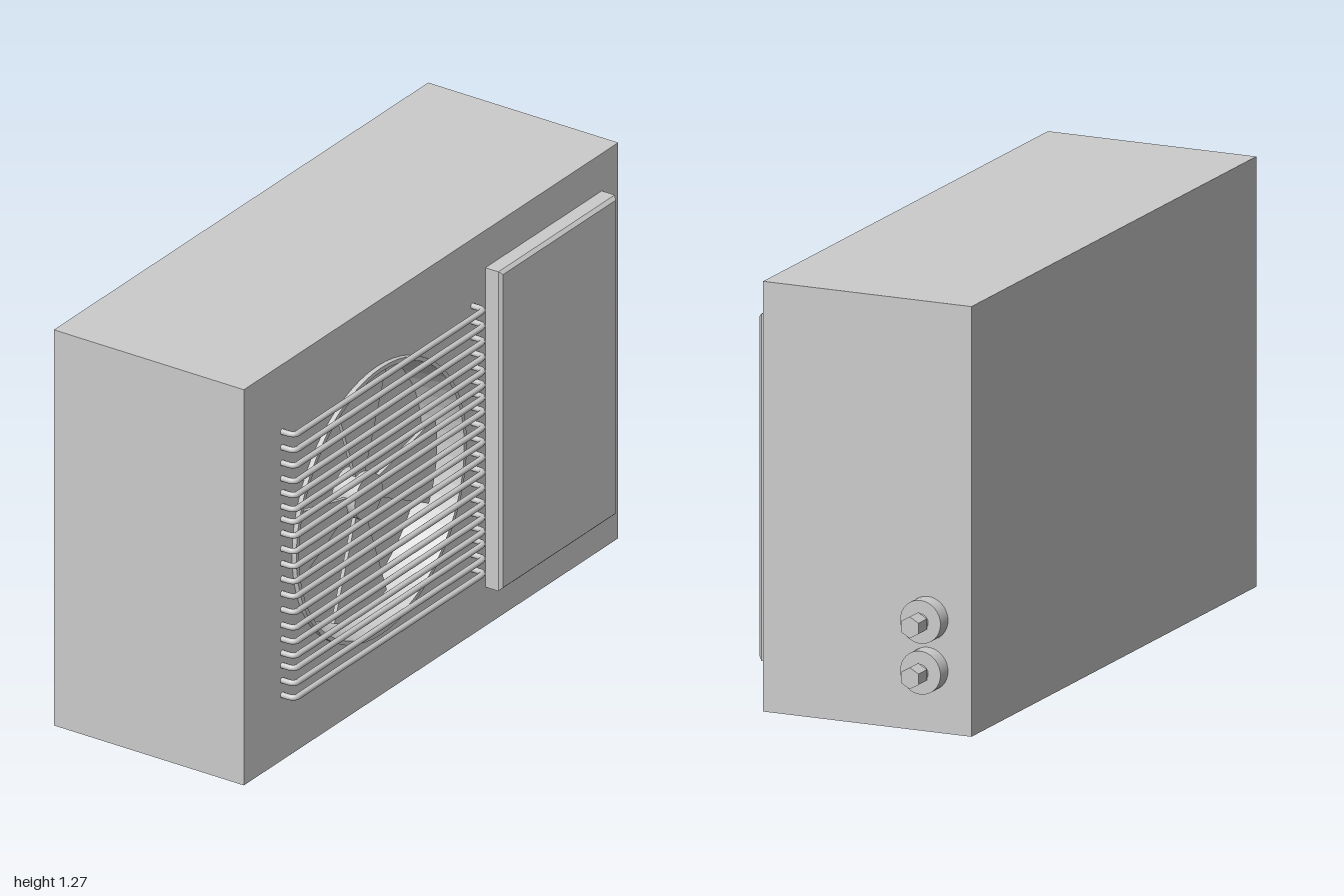
import * as THREE from 'three';

const grey = new THREE.MeshStandardMaterial({ color: 0xcccccc, side: THREE.DoubleSide });
const FACE = 0.30;      // x of the fan side of the cabinet
const DEPTH = 0.12;     // depth of the fan recess
const FAN_Y = 0.635, FAN_Z = 0.33;

export function createModel() {
  const model = new THREE.Group();
  const add = (name, geometry, parent = model) => {
    const mesh = new THREE.Mesh(geometry, grey);
    mesh.name = name;
    parent.add(mesh);
    return mesh;
  };

  // Cabinet: solid rear body plus a fan-side slab with a round opening
  const bodyWidth = 0.66 - DEPTH;
  add('cabinetBody', new THREE.BoxGeometry(bodyWidth, 1.27, 1.88))
    .position.set(-0.36 + bodyWidth / 2, 0.635, 0.06);
  const slab = new THREE.Shape([[-1, 0], [0.88, 0], [0.88, 1.27], [-1, 1.27]]
    .map(([x, y]) => new THREE.Vector2(x, y)));
  slab.holes.push(new THREE.Path().absarc(-FAN_Z, FAN_Y, 0.42, 0, Math.PI * 2, true));
  const slabGeometry = new THREE.ExtrudeGeometry(slab, { depth: DEPTH, bevelEnabled: false, curveSegments: 48 });
  add('cabinetFanSide', slabGeometry.rotateY(Math.PI / 2)).position.x = FACE - DEPTH;

  // Fan assembly, built facing local +z and turned towards +x
  const fan = new THREE.Group();
  fan.name = 'fan';
  fan.rotation.y = Math.PI / 2;
  fan.position.set(FACE, FAN_Y, FAN_Z);
  model.add(fan);

  // Tapered shroud with a small raised lip
  const shroud = [[0.395, -DEPTH + 0.002], [0.415, 0.015], [0.428, 0.015], [0.428, 0]]
    .map(([r, y]) => new THREE.Vector2(r, y));
  const shroudGeometry = new THREE.LatheGeometry(shroud, 64).toNonIndexed();
  shroudGeometry.computeVertexNormals();
  add('fanShroud', shroudGeometry.rotateX(Math.PI / 2), fan);

  // Hub and four thin sector blades
  add('fanHub', new THREE.CylinderGeometry(0.07, 0.07, 0.08, 24).rotateX(Math.PI / 2), fan)
    .position.z = -0.07;
  for (const centre of [90, -7, 187, 270]) {
    const a = THREE.MathUtils.degToRad(centre - 20), b = THREE.MathUtils.degToRad(centre + 20);
    const sector = new THREE.Shape();
    sector.absarc(0, 0, 0.385, a, b, false);
    sector.absarc(0, 0, 0.06, b, a, true);
    const blade = new THREE.ExtrudeGeometry(sector, { depth: 0.012, bevelEnabled: false, curveSegments: 12 });
    add('fanBlade', blade, fan).position.z = -0.07;
  }

  // Guard: horizontal bars with both ends bent back into the cabinet
  const bend = new THREE.CurvePath();
  const v = (x, z) => new THREE.Vector3(x, 0, z);
  const outer = 0.343, zA = 0.808, zB = -0.148, r = 0.02;
  bend.add(new THREE.LineCurve3(v(FACE, zA), v(outer - r, zA)));
  bend.add(new THREE.QuadraticBezierCurve3(v(outer - r, zA), v(outer, zA), v(outer, zA - r)));
  bend.add(new THREE.LineCurve3(v(outer, zA - r), v(outer, zB + r)));
  bend.add(new THREE.QuadraticBezierCurve3(v(outer, zB + r), v(outer, zB), v(outer - r, zB)));
  bend.add(new THREE.LineCurve3(v(outer - r, zB), v(FACE, zB)));
  const barGeometry = new THREE.TubeGeometry(bend, 160, 0.009, 8);
  const barHeights = [1.055, 1.005, 0.955, 0.905, 0.86, 0.815, 0.775, 0.73, 0.68, 0.632,
    0.583, 0.535, 0.485, 0.435, 0.39, 0.345, 0.305, 0.257, 0.21];
  for (const y of barHeights) add('guardBar', barGeometry).position.y = y;

  // Service panel with a chamfered front edge
  const c = 0.01, w = 0.585 / 2 - c, h = 1.025 / 2 - c;
  const panel = new THREE.Shape([[-w - c, -h - c], [w + c, -h - c], [w + c, h + c], [-w - c, h + c]]
    .map(([x, y]) => new THREE.Vector2(x, y)));
  const panelGeometry = new THREE.ExtrudeGeometry(panel, {
    depth: 0.055 - c, bevelEnabled: true, bevelSegments: 1, bevelSize: c, bevelThickness: c, bevelOffset: -c,
  });
  add('servicePanel', panelGeometry.rotateY(Math.PI / 2)).position.set(FACE, 0.6375, -0.505);

  // Pipe connections: round flange, short neck and hexagonal nut
  for (const y of [0.335, 0.185]) {
    const valve = new THREE.Group();
    valve.name = 'pipeConnection';
    valve.position.set(-0.222, y, -0.88);
    valve.rotation.x = -Math.PI / 2;
    model.add(valve);
    add('flange', new THREE.CylinderGeometry(0.064, 0.064, 0.05, 32), valve).position.y = 0.025;
    add('neck', new THREE.CylinderGeometry(0.025, 0.025, 0.03, 20), valve).position.y = 0.06;
    const nut = new THREE.CylinderGeometry(0.032, 0.032, 0.056, 6).toNonIndexed();
    nut.computeVertexNormals();
    add('nut', nut, valve).position.y = 0.092;
  }
  return model;
}
